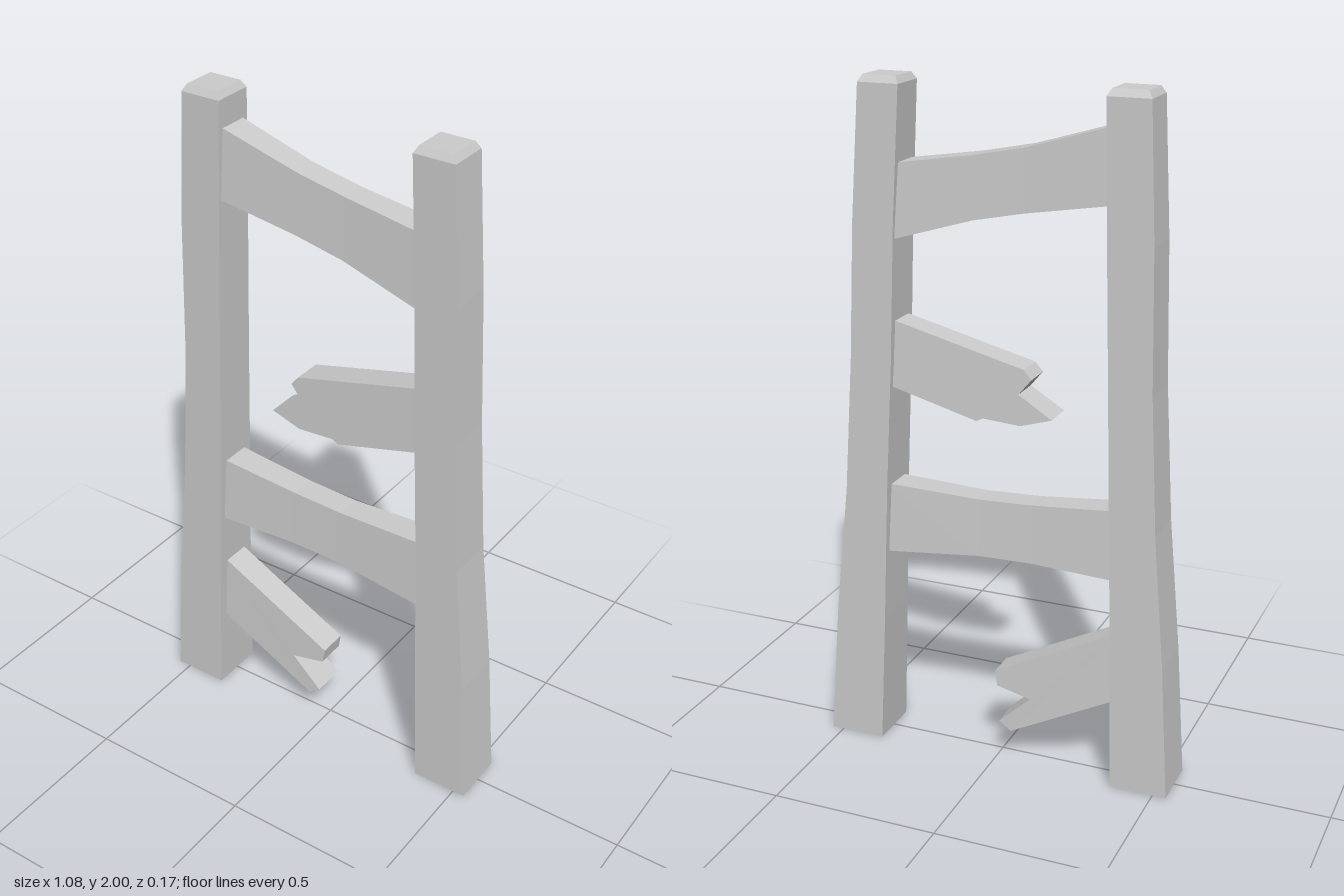
import * as THREE from 'three';

const material = new THREE.MeshStandardMaterial({ color: 0xcccccc, flatShading: true });

// Skin four-cornered rings, each counterclockwise seen from the far end
function loft(rings) {
  const pos = [];
  const quad = (a, b, c, d) => [a, b, c, a, c, d].forEach((p) => pos.push(...p));
  for (let i = 0; i < rings.length - 1; i++) {
    for (let j = 0; j < 4; j++) {
      const k = (j + 1) % 4;
      quad(rings[i][j], rings[i][k], rings[i + 1][k], rings[i + 1][j]);
    }
  }
  const [a, b, c, d] = rings[0];
  quad(d, c, b, a);
  quad(...rings[rings.length - 1]);
  const geo = new THREE.BufferGeometry();
  geo.setAttribute('position', new THREE.Float32BufferAttribute(pos, 3));
  geo.computeVertexNormals();
  return geo;
}

// Tapering post: sections of [y, x min, x max, half depth]
function post(sections) {
  return loft(sections.map(([y, x0, x1, h]) => [[x0, y, h], [x1, y, h], [x1, y, -h], [x0, y, -h]]));
}

// Sagging rung: sections of [x, bottom, top, depth factor], thinner along its upper edge
function rung(sections) {
  return loft(sections.map(([x, y0, y1, f]) => {
    const t = 0.042 * f, b = 0.052 * f;
    return [[x, y1, t], [x, y0, b], [x, y0, -b], [x, y1, -t]];
  }));
}

// Snapped board: outline extruded, thinner towards the upper edge line y = y0 + slope * x
function brokenBoard(points, y0, slope) {
  const shape = new THREE.Shape(points.map(([x, y]) => new THREE.Vector2(x, y)));
  const geo = new THREE.ExtrudeGeometry(shape, { depth: 2, bevelEnabled: false });
  geo.translate(0, 0, -1);
  const p = geo.attributes.position;
  for (let i = 0; i < p.count; i++) {
    const below = y0 + slope * p.getX(i) - p.getY(i);
    p.setZ(i, p.getZ(i) * (0.043 + 0.045 * THREE.MathUtils.clamp(below, 0, 0.2)));
  }
  geo.computeVertexNormals();
  return geo;
}

export function createModel() {
  const group = new THREE.Group();
  group.name = 'brokenLadder';
  const add = (name, geo) => {
    const mesh = new THREE.Mesh(geo, material);
    mesh.name = name;
    group.add(mesh);
  };

  // Posts with a bevelled top
  add('rightPost', post([
    [0, -0.54, -0.37, 0.084], [0.4, -0.515, -0.36, 0.078], [0.8, -0.48, -0.346, 0.073],
    [1.2, -0.458, -0.333, 0.068], [1.6, -0.449, -0.32, 0.065],
    [1.98, -0.43, -0.308, 0.06], [2, -0.418, -0.32, 0.049],
  ]));
  add('leftPost', post([
    [0, 0.367, 0.536, 0.084], [0.4, 0.35, 0.508, 0.078], [0.8, 0.335, 0.467, 0.073],
    [1.2, 0.315, 0.442, 0.068], [1.6, 0.3, 0.425, 0.065],
    [1.98, 0.279, 0.4, 0.06], [2, 0.29, 0.388, 0.049],
  ]));

  // Whole rungs
  add('topRung', rung([
    [-0.33, 1.7, 1.905, 1.05], [-0.08, 1.658, 1.832, 0.92],
    [0.07, 1.627, 1.802, 0.92], [0.31, 1.555, 1.765, 1.05],
  ]));
  add('lowerRung', rung([
    [-0.365, 0.64, 0.847, 1.05], [-0.1, 0.648, 0.823, 0.92],
    [0.06, 0.644, 0.816, 0.92], [0.35, 0.614, 0.825, 1.05],
  ]));

  // Snapped rungs
  add('upperBrokenRung', brokenBoard([
    [0.33, 1.325], [-0.08, 1.222], [-0.102, 1.195], [-0.065, 1.15], [-0.165, 1.088],
    [-0.072, 1.06], [0.04, 1.068], [0.06, 1.058], [0.33, 1.13],
  ], 1.242, 0.25));
  add('lowerBrokenRung', brokenBoard([
    [-0.38, 0.48], [-0.38, 0.27], [-0.045, 0.094], [-0.008, 0.12],
    [-0.105, 0.211], [0, 0.234], [0.008, 0.28],
  ], 0.284, -0.515));

  return group;
}
